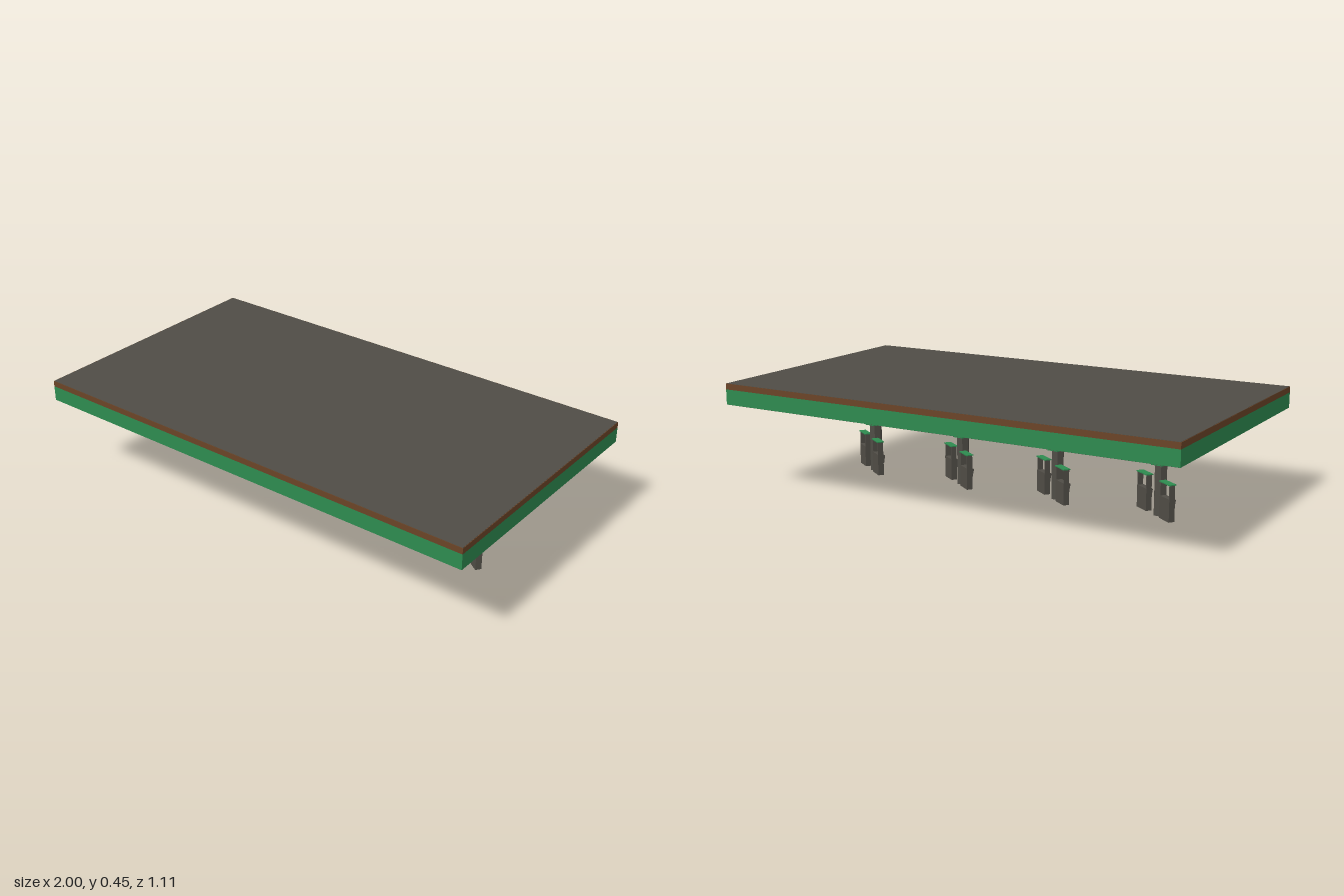
import * as THREE from 'three';

const mat = (color) => new THREE.MeshStandardMaterial({ color, flatShading: true });
const grey = mat(0x504d46);
const green = mat(0x2e8b50);
const brown = mat(0x6b4427);

function add(parent, name, geometry, material, x, y, z) {
  const mesh = new THREE.Mesh(geometry, material);
  mesh.name = name;
  mesh.position.set(x, y, z);
  parent.add(mesh);
  return mesh;
}

const box = (w, h, d) => new THREE.BoxGeometry(w, h, d);

// Fuel dispenser: low cabinet, two thin posts, flat cap and two hung nozzles
function createPump() {
  const pump = new THREE.Group();
  pump.name = 'pump';
  add(pump, 'cabinet', box(0.071, 0.09, 0.025), grey, 0, 0.05, 0);
  for (const side of [-1, 1]) {
    add(pump, 'post', box(0.005, 0.055, 0.023), grey, side * 0.033, 0.1225, 0);
    const nozzle = add(pump, 'nozzle', box(0.01, 0.034, 0.009), grey, side * 0.02, 0.072, 0.016);
    nozzle.rotation.x = 0.2;
    add(pump, 'nozzleHolder', box(0.013, 0.012, 0.008), grey, side * 0.02, 0.062, 0.015);
  }
  add(pump, 'pumpCap', box(0.078, 0.004, 0.03), green, 0, 0.151, 0);
  return pump;
}

// Hexagonal canopy column with a collar and a pump on either side
function createIsland() {
  const island = new THREE.Group();
  island.name = 'pumpIsland';
  add(island, 'column', new THREE.CylinderGeometry(0.027, 0.027, 0.361, 6), grey, 0, 0.1805, 0);
  add(island, 'columnCollar', new THREE.CylinderGeometry(0.046, 0.046, 0.042, 6), green, 0, 0.226, 0);
  for (const side of [-1, 1]) {
    const pump = createPump();
    pump.position.set(side * 0.085, 0, -0.021);
    island.add(pump);
  }
  island.rotation.y = THREE.MathUtils.degToRad(-35);
  return island;
}

export function createModel() {
  const model = new THREE.Group();
  model.name = 'fuelStationCanopy';

  // Canopy: green fascia, brown trim, grey roof and ceiling panels
  add(model, 'fascia', box(2, 0.063, 1.11), green, 0, 0.3925, 0);
  add(model, 'roofTrim', box(2, 0.024, 1.11), brown, 0, 0.436, 0);
  add(model, 'roofPanel', box(1.996, 0.004, 1.106), grey, 0, 0.447, 0);
  add(model, 'ceilingPanel', box(1.996, 0.004, 1.106), grey, 0, 0.362, 0);

  // Row of four islands under the canopy
  for (let i = 0; i < 4; i++) {
    const island = createIsland();
    island.position.set(-0.68 + i * 0.4515, 0, 0.02);
    model.add(island);
  }
  return model;
}
